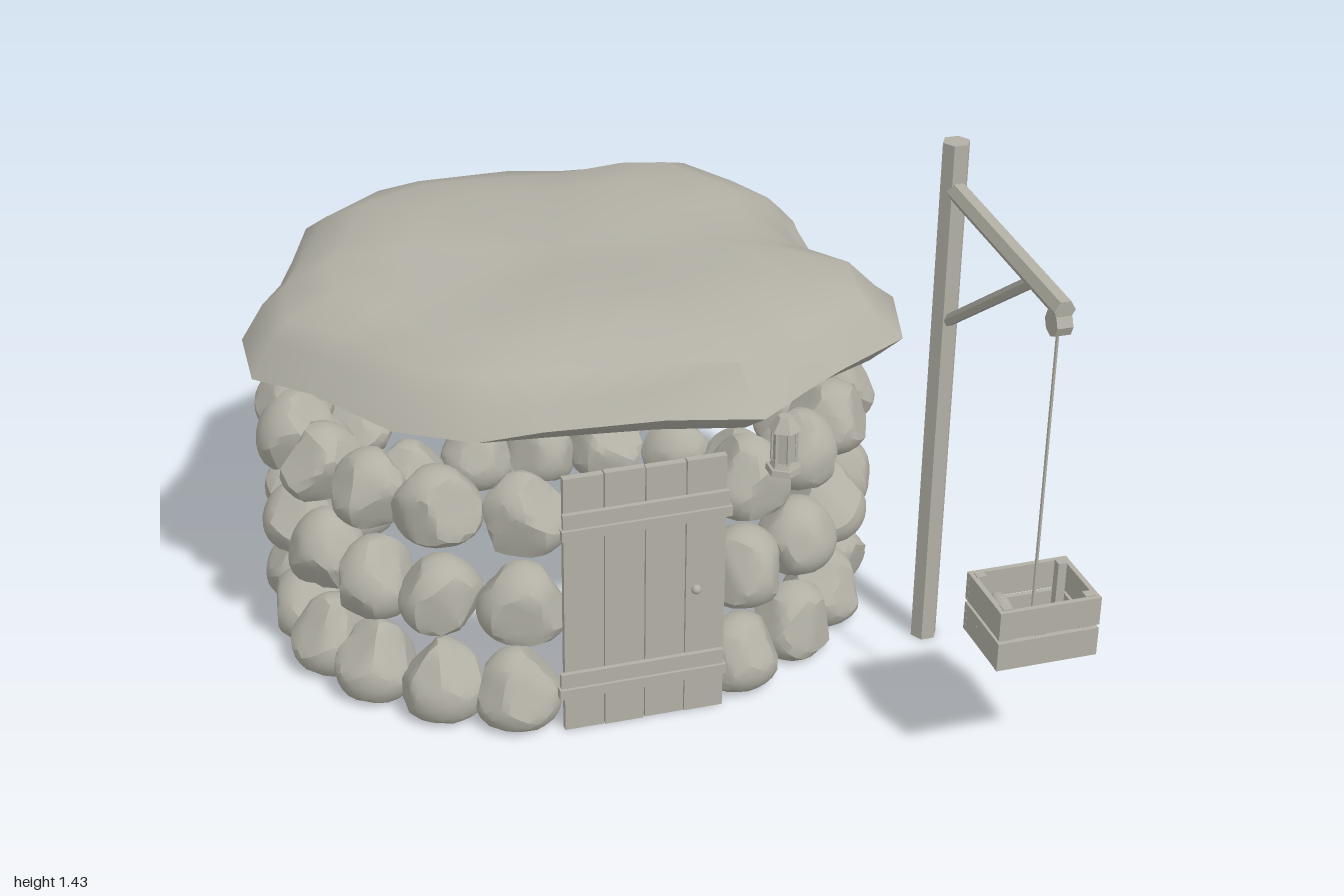
import * as THREE from 'three';
import { toCreasedNormals } from 'three/addons/utils/BufferGeometryUtils.js';

export function createModel() {
  const model = new THREE.Group();
  const clay = new THREE.MeshStandardMaterial({ color: 0xb2b0a5 });
  clay.name = 'warm grey';

  let seed = 7;
  const rand = () => (seed = (seed * 16807) % 2147483647) / 2147483647;
  const vary = (a, b) => a + (b - a) * rand();

  function add(name, geometry, x = 0, y = 0, z = 0, parent = model) {
    const mesh = new THREE.Mesh(geometry, clay);
    mesh.name = name;
    mesh.position.set(x, y, z);
    parent.add(mesh);
    return mesh;
  }
  const box = (name, w, h, d, x, y, z, parent) => add(name, new THREE.BoxGeometry(w, h, d), x, y, z, parent);
  const prism = (r1, r2, h, sides) => toCreasedNormals(new THREE.CylinderGeometry(r1, r2, h, sides), 0.3);
  // straight rod between two points
  function rod(name, a, b, r, sides, parent) {
    const p = new THREE.Vector3(...a), q = new THREE.Vector3(...b);
    const mid = p.clone().add(q).multiplyScalar(0.5);
    const mesh = add(name, prism(r, r, p.distanceTo(q), sides).rotateY(Math.PI / 2), mid.x, mid.y, mid.z, parent);
    mesh.quaternion.setFromUnitVectors(new THREE.Vector3(0, 1, 0), q.sub(p).normalize());
    return mesh;
  }

  // boulder: a rounded lump cut by a flat base and random planes, narrowing upward
  function boulder() {
    const geo = new THREE.IcosahedronGeometry(1, 4);
    const size = new THREE.Vector3(vary(0.105, 0.115), vary(0.1, 0.122), vary(0.1, 0.11));
    const cuts = [{ n: new THREE.Vector3(0, -1, 0), h: 0.083 }];
    for (let i = 0; i < 7; i++) {
      const a = (i + rand()) * Math.PI * 2 / 7, up = vary(-0.5, 0.9);
      const n = new THREE.Vector3(Math.cos(a), up, Math.sin(a)).normalize();
      cuts.push({ n, h: vary(0.077, 0.1) });
    }
    const pos = geo.attributes.position, d = new THREE.Vector3();
    for (let i = 0; i < pos.count; i++) {
      d.fromBufferAttribute(pos, i).normalize();
      let r = 1 / Math.hypot(d.x / size.x, d.y / size.y, d.z / size.z);
      for (const c of cuts) {
        const k = d.dot(c.n);
        if (k > 0.01) r = Math.min(r, c.h / k);
      }
      const taper = 1.04 - 1.6 * d.y * r;
      pos.setXYZ(i, d.x * r * taper, d.y * r, d.z * r * taper);
    }
    return toCreasedNormals(geo, 0.45);
  }

  // three courses of boulders, open at the doorway
  const wall = new THREE.Group();
  wall.name = 'stoneWall';
  model.add(wall);
  for (let row = 0; row < 3; row++) {
    for (let i = 0; i < 20; i++) {
      const t = 0.44 + (2 * Math.PI - 0.84) * i / 19 + vary(-0.015, 0.015);
      const stone = add('wallStone', boulder(), -0.065 + 0.735 * Math.sin(t), 0.092 + row * 0.26,
        -0.23 + 0.635 * Math.cos(t), wall);
      stone.rotation.y = t;
    }
  }

  // roof slab: irregular outline [x, z], stacked in scaled rings
  const outline = [[0.23, 0.52], [0.37, 0.41], [0.5, 0.33], [0.7, 0.24], [0.77, 0], [0.69, -0.1], [0.65, -0.2],
    [0.67, -0.46], [0.69, -0.55], [0.62, -0.7], [0.52, -0.89], [0.36, -0.92], [0.12, -0.94], [-0.05, -0.98],
    [-0.35, -1], [-0.48, -0.94], [-0.69, -0.78], [-0.82, -0.46], [-0.91, -0.33], [-0.92, -0.11], [-0.8, 0.03],
    [-0.76, 0.11], [-0.64, 0.28], [-0.46, 0.4], [-0.3, 0.42], [0, 0.455]];
  // each ring: [scale, height, roughness]
  const rings = [[0, 0.83, 0], [0.6, 0.825, 0], [0.91, 0.812, 0.003], [1, 0.862, 0.01], [0.94, 0.92, 0.008],
    [0.87, 0.978, 0.008], [0.72, 1.022, 0.004], [0.5, 1.04, 0], [0.25, 1.036, 0], [0, 1.033, 0]];
  const verts = [], faces = [], n = outline.length;
  rings.forEach(([s, y, rough], k) => {
    outline.forEach(([x, z], i) => {
      const a = Math.atan2(x + 0.08, z + 0.25);
      // low mounds on top, a raised back left shoulder and an edge falling to the left
      const swell = k > 5 ? 0.02 * s * Math.sin(3 * a + 1) : 0;
      const shoulder = k > 3 ? 0.02 * s * Math.exp(-8 * ((x + 0.7) ** 2 + (z + 0.6) ** 2)) : 0;
      const tilt = k === 3 ? 0.025 * x : 0;
      const j = s + (k > 3 && k < 6 ? vary(-0.015, 0.015) : 0);
      verts.push(-0.08 + (x + 0.08) * j, y + swell + shoulder + tilt + vary(-rough, rough),
        -0.25 + (z + 0.25) * j);
      if (k === 0) return;
      const p = (k - 1) * n + i, q = (k - 1) * n + (i + 1) % n;
      if (k > 1) faces.push(p, q, q + n);
      else faces.push(p, q + n, p + n);
      if (k > 1 && k < rings.length - 1) faces.push(p, q + n, p + n);
    });
  });
  const slab = new THREE.BufferGeometry();
  slab.setAttribute('position', new THREE.Float32BufferAttribute(verts, 3));
  slab.setIndex(faces);
  add('roofSlab', toCreasedNormals(slab, 0.8));

  // plank door with two battens and a knob
  const door = new THREE.Group();
  door.name = 'door';
  model.add(door);
  for (let i = 0; i < 4; i++) {
    box('doorPlank', 0.103, 0.737 + (i % 2) * 0.004, 0.02, -0.209 + i * 0.106, 0.371, 0.437, door);
  }
  for (const [y, x, tilt] of [[0.14, -0.058, 0], [0.607, -0.05, 0.006]]) {
    const batten = box('doorBatten', 0.43, 0.062, 0.014, x, y + 0.008, 0.453, door);
    const lip = box('battenLip', 0.44, 0.028, 0.026, x, y - 0.016, 0.455, door);
    batten.rotation.z = lip.rotation.z = tilt;
  }
  add('doorKnob', new THREE.SphereGeometry(0.013, 12, 8), 0.082, 0.372, 0.457, door);

  // lantern hanging under the eave
  const lantern = new THREE.Group();
  lantern.name = 'lantern';
  lantern.position.set(0.288, 0, 0.5);
  model.add(lantern);
  add('lanternBase', prism(0.044, 0.046, 0.016, 6), 0, 0.716, 0, lantern);
  add('lanternFoot', prism(0.03, 0.036, 0.014, 6), 0, 0.731, 0, lantern);
  add('lanternGlass', prism(0.029, 0.029, 0.09, 6), 0, 0.782, 0, lantern);
  add('lanternCap', prism(0.018, 0.042, 0.035, 6), 0, 0.843, 0, lantern);
  for (let i = 0; i < 6; i++) {
    const a = i * Math.PI / 3;
    box('lanternBar', 0.007, 0.09, 0.007, 0.03 * Math.sin(a), 0.782, 0.03 * Math.cos(a), lantern);
  }

  // hoist: post, arm, brace, pulley and rope
  const hoist = new THREE.Group();
  hoist.name = 'hoist';
  model.add(hoist);
  rod('post', [0.792, 0, 0.283], [0.792, 1.435, 0.283], 0.036, 6, hoist);
  rod('arm', [0.792, 1.313, 0.28], [0.792, 1.274, 0.925], 0.027, 6, hoist);
  rod('brace', [0.792, 0.945, 0.29], [0.792, 1.268, 0.75], 0.016, 6, hoist);
  const pulley = add('pulley', prism(0.033, 0.033, 0.04, 8), 0.792, 1.235, 0.902, hoist);
  pulley.rotation.z = Math.PI / 2;
  rod('rope', [0.792, 0.4, 0.9], [0.792, 1.235, 0.9], 0.0045, 6, hoist);

  // slatted crate hanging from the rope
  const crate = new THREE.Group();
  crate.name = 'crate';
  crate.position.set(0.792, 0.365, 0.898);
  model.add(crate);
  for (const y of [0.038, 0.124]) {
    for (const s of [-1, 1]) {
      box('crateLongSlat', 0.262, 0.076, 0.013, 0, y, s * 0.093, crate);
      box('crateEndSlat', 0.013, 0.076, 0.174, s * 0.124, y, 0, crate);
    }
  }
  for (const sx of [-1, 1]) {
    for (const sz of [-1, 1]) box('cratePost', 0.024, 0.163, 0.024, sx * 0.107, 0.083, sz * 0.076, crate);
  }
  for (const z of [-0.058, 0, 0.058]) box('crateFloorPlank', 0.236, 0.012, 0.056, 0, 0.008, z, crate);

  // fish lying in the crate, one tail poking out through the slats
  for (const [x, y, z, turn] of [[-0.06, 0.09, -0.04, -0.1], [-0.07, 0.05, 0.03, 0.6], [-0.04, 0.075, 0.05, 1.2]]) {
    const fish = new THREE.Group();
    fish.name = 'fish';
    fish.position.set(x, y, z);
    fish.rotation.y = turn;
    crate.add(fish);
    add('fishBody', new THREE.SphereGeometry(1, 12, 8).scale(0.022, 0.015, 0.062), 0, 0, 0, fish);
    const tail = add('fishTail', prism(0.022, 0.004, 0.04, 4).scale(1, 1, 0.3), 0, 0, turn < 0 ? -0.08 : -0.06, fish);
    tail.rotation.x = -Math.PI / 2;
  }

  return model;
}
